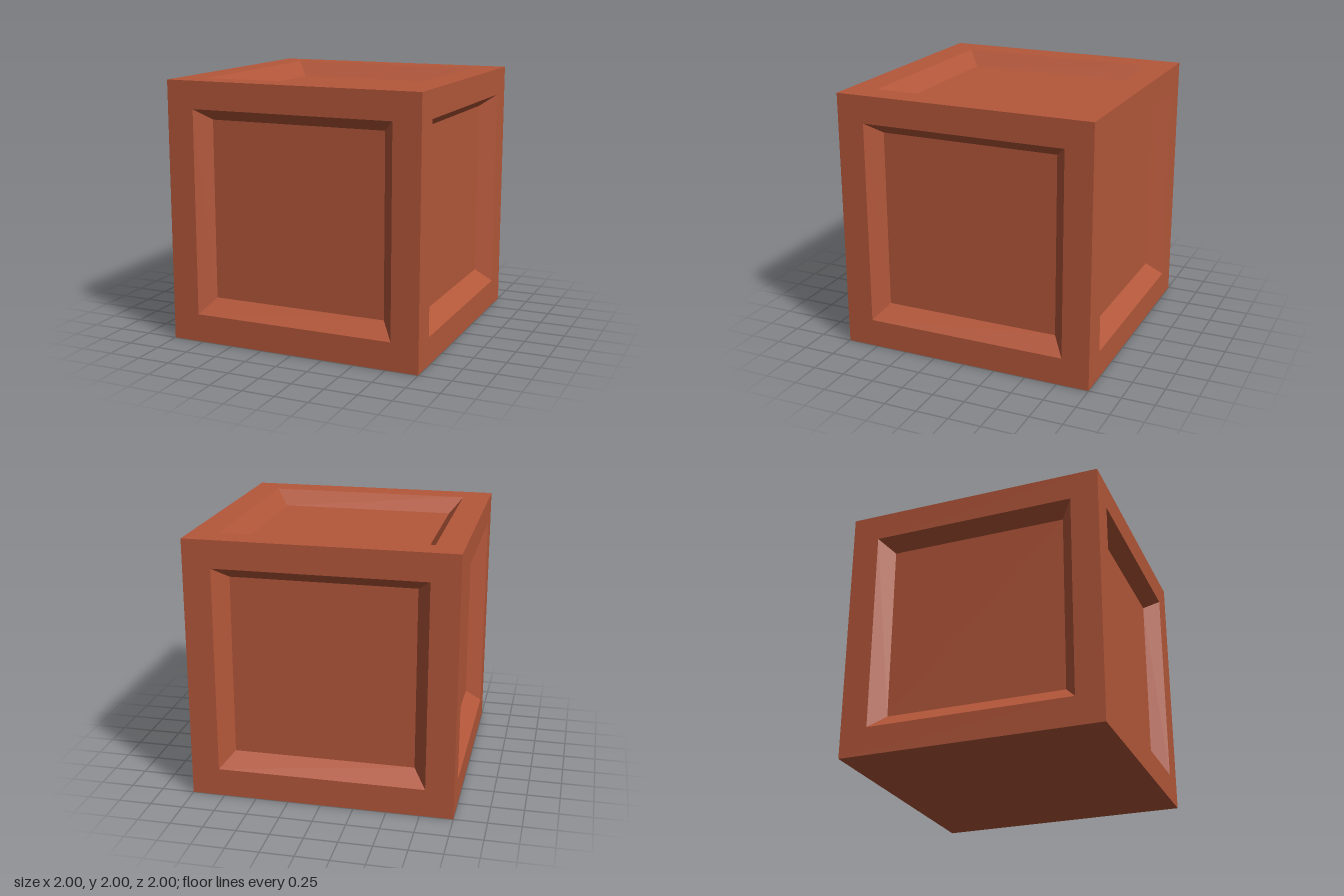
import * as THREE from 'three';

const paint = new THREE.MeshStandardMaterial({ color: 0xb4573a });
paint.name = 'rust red';

// Four corners of a square ring, counter-clockwise as seen from +z
function ring(half, rise, z) {
  return [[-1, -1], [1, -1], [1, 1], [-1, 1]].map(([x, y]) =>
    new THREE.Vector3(x * half, y * half + rise, z));
}

// Flat-sided mesh made of quads
function quadMesh(name, quads) {
  const points = quads.flatMap(([a, b, c, d]) => [a, b, c, a, c, d]);
  const geometry = new THREE.BufferGeometry().setFromPoints(points);
  geometry.computeVertexNormals();
  const mesh = new THREE.Mesh(geometry, paint);
  mesh.name = name;
  return mesh;
}

// Band of four quads between an outer and an inner ring
function band(outer, inner) {
  return outer.map((corner, i) => {
    const j = (i + 1) % 4;
    return [corner, outer[j], inner[j], inner[i]];
  });
}

// One crate face towards +z: flat frame, sloped recess and sunken panel
function crateFace(name, innerRise, depth) {
  const edge = ring(1, 0, 1);
  const opening = ring(0.788, 0.003, 1);
  const floor = ring(0.688, innerRise, 1 - depth);
  const face = new THREE.Group();
  face.name = name;
  face.add(
    quadMesh('frame', band(edge, opening)),
    quadMesh('recessBevel', band(opening, floor)),
    quadMesh('sunkenPanel', [floor]),
  );
  return face;
}

export function createModel() {
  const crate = new THREE.Group();
  crate.name = 'crate';

  // Four upright faces
  ['frontFace', 'leftFace', 'backFace', 'rightFace'].forEach((name, i) => {
    const face = crateFace(name, 0.016, 0.12);
    face.rotation.y = i * Math.PI / 2;
    face.position.y = 1;
    crate.add(face);
  });

  // Lid with the same recess
  const lid = crateFace('topFace', 0.004, 0.118);
  lid.rotation.x = -Math.PI / 2;
  lid.position.y = 1;
  crate.add(lid);

  // Plain underside
  const base = quadMesh('base', [ring(1, 0, 0)]);
  base.rotation.x = Math.PI / 2;
  crate.add(base);

  return crate;
}
